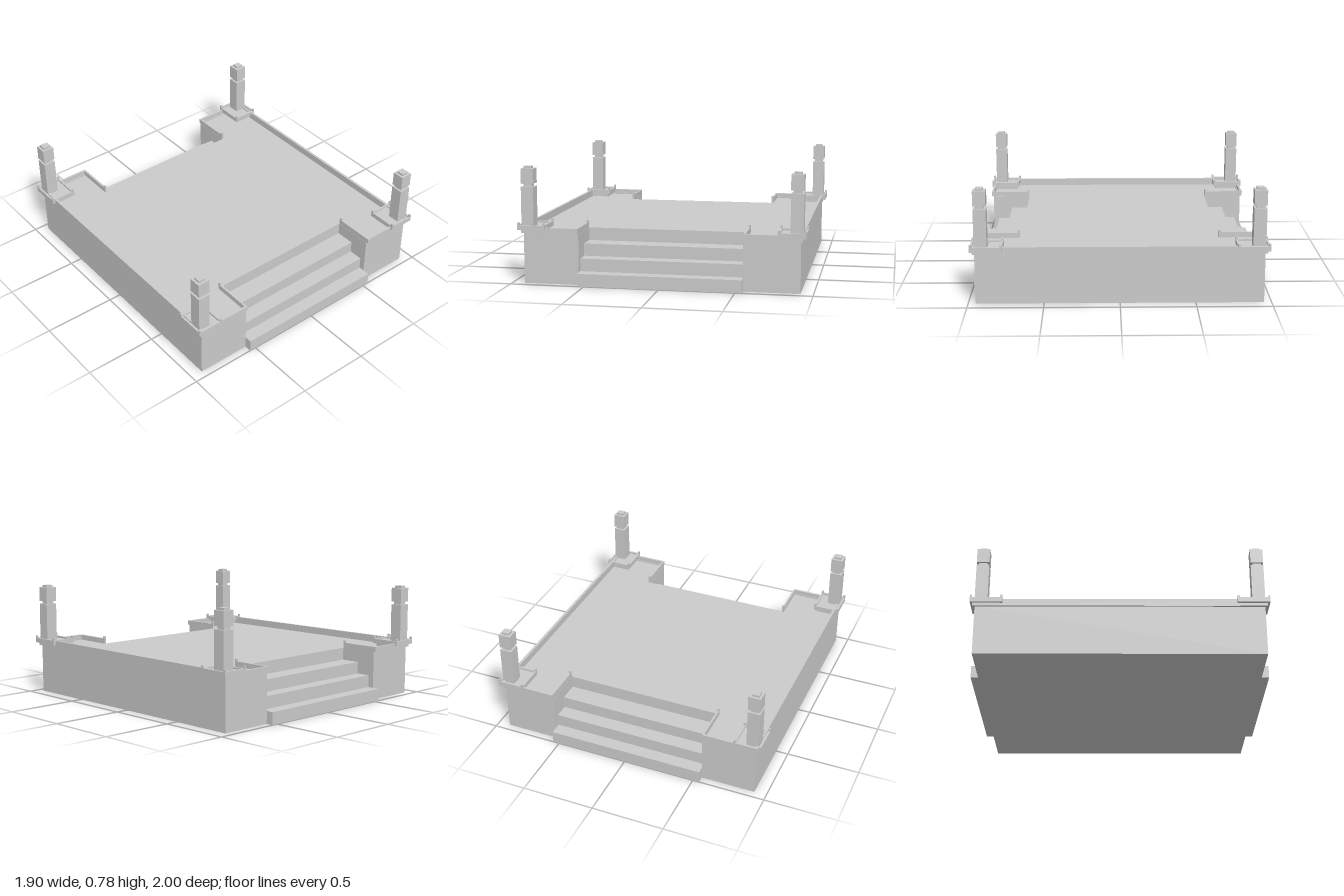
import * as THREE from 'three';

const material = new THREE.MeshStandardMaterial({ color: 0xcccccc, flatShading: true });

// Box given by its min and max corners
function box(parent, name, x0, x1, y0, y1, z0, z1) {
  const mesh = new THREE.Mesh(new THREE.BoxGeometry(x1 - x0, y1 - y0, z1 - z0), material);
  mesh.position.set((x0 + x1) / 2, (y0 + y1) / 2, (z0 + z1) / 2);
  mesh.name = name;
  parent.add(mesh);
  return mesh;
}

// Box spanning between signed coordinates, mirrored by sx and sz
function mirroredBox(parent, name, sx, sz, x0, x1, y0, y1, z0, z1) {
  const xs = [sx * x0, sx * x1].sort((a, b) => a - b);
  const zs = [sz * z0, sz * z1].sort((a, b) => a - b);
  return box(parent, name, xs[0], xs[1], y0, y1, zs[0], zs[1]);
}

const W = 0.917, D = 0.95, FLOOR = 0.34;
const NOTCH_X = 0.545, NOTCH_Z = 0.675;

// Platform plan with a stair notch at the front and back
function platform() {
  const quarter = [[W, D], [NOTCH_X, D], [NOTCH_X, NOTCH_Z]];
  const mirror = (sx, sz) => quarter.map(([x, z]) => new THREE.Vector2(sx * x, sz * z));
  const outline = [
    ...mirror(1, 1), ...mirror(-1, 1).reverse(),
    ...mirror(-1, -1), ...mirror(1, -1).reverse(),
  ];
  const geometry = new THREE.ExtrudeGeometry(new THREE.Shape(outline), { depth: FLOOR, bevelEnabled: false });
  geometry.rotateX(-Math.PI / 2);
  const mesh = new THREE.Mesh(geometry, material);
  mesh.name = 'platform';
  return mesh;
}

// Three steps, each rising toward the platform
function stairs(sz) {
  const group = new THREE.Group();
  group.name = sz > 0 ? 'frontStairs' : 'backStairs';
  const treads = [[1.0, 0.085], [0.91, 0.17], [0.81, 0.253]];
  let y0 = 0;
  for (const [z, y] of treads) {
    mirroredBox(group, 'step', 1, sz, -NOTCH_X, NOTCH_X, y0, y, NOTCH_Z, z);
    y0 = y;
  }
  return group;
}

// Corner pad with rim, corner tips and lamp post
function cornerPost(sx, sz) {
  const group = new THREE.Group();
  group.name = 'cornerPost';
  const x0 = 0.768, x1 = 0.952, z0 = 0.768, z1 = 0.98, t = 0.014;
  const add = (name, ...b) => mirroredBox(group, name, sx, sz, ...b);
  add('padBase', x0 + 0.018, 0.932, FLOOR, 0.36, z0 + 0.018, 0.965);
  add('pad', x0, x1, 0.36, 0.38, z0, z1);
  for (const x of [x0, x1 - t]) add('padRim', x, x + t, 0.38, 0.393, z0, z1);
  for (const z of [z0, z1 - t]) add('padRim', x0 + t, x1 - t, 0.38, 0.393, z, z + t);
  for (const x of [x0, x1 - t])
    for (const z of [z0, z1 - t]) add('rimTip', x, x + t, 0.393, 0.41, z, z + t);

  // Shaft, neck, lantern block and cap: [half width, bottom, top]
  const cx = 0.89, cz = 0.908;
  const tiers = {
    postShaft: [0.042, 0.38, 0.645],
    postNeck: [0.028, 0.645, 0.665],
    postBlock: [0.042, 0.665, 0.765],
    postCap: [0.025, 0.765, 0.78],
  };
  for (const [name, [h, y0, y1]] of Object.entries(tiers))
    add(name, cx - h, cx + h, y0, y1, cz - h, cz + h);
  return group;
}

// Low curb around one corner wing, ending in a small tip beside the stairs
function wingCurb(sx, sz) {
  const group = new THREE.Group();
  group.name = 'wingCurb';
  const add = (name, ...b) => mirroredBox(group, name, sx, sz, ...b);
  add('endCurb', 0.547, 0.93, 0.344, 0.377, 0.95, 0.965);
  add('endCurbFoot', 0.547, W, FLOOR, 0.35, 0.945, 0.955);
  add('stairCurb', 0.546, 0.56, FLOOR, 0.377, NOTCH_Z, 0.95);
  add('curbTip', 0.546, 0.56, 0.377, 0.393, NOTCH_Z, NOTCH_Z + 0.016);
  return group;
}

export function createModel() {
  const model = new THREE.Group();
  model.name = 'steppedTerrace';
  model.add(platform(), stairs(1), stairs(-1));
  for (const sx of [-1, 1]) {
    mirroredBox(model, 'sideCurb', sx, 1, 0.912, 0.93, FLOOR, 0.39, -0.965, 0.965);
    for (const sz of [-1, 1]) model.add(cornerPost(sx, sz), wingCurb(sx, sz));
  }
  return model;
}
